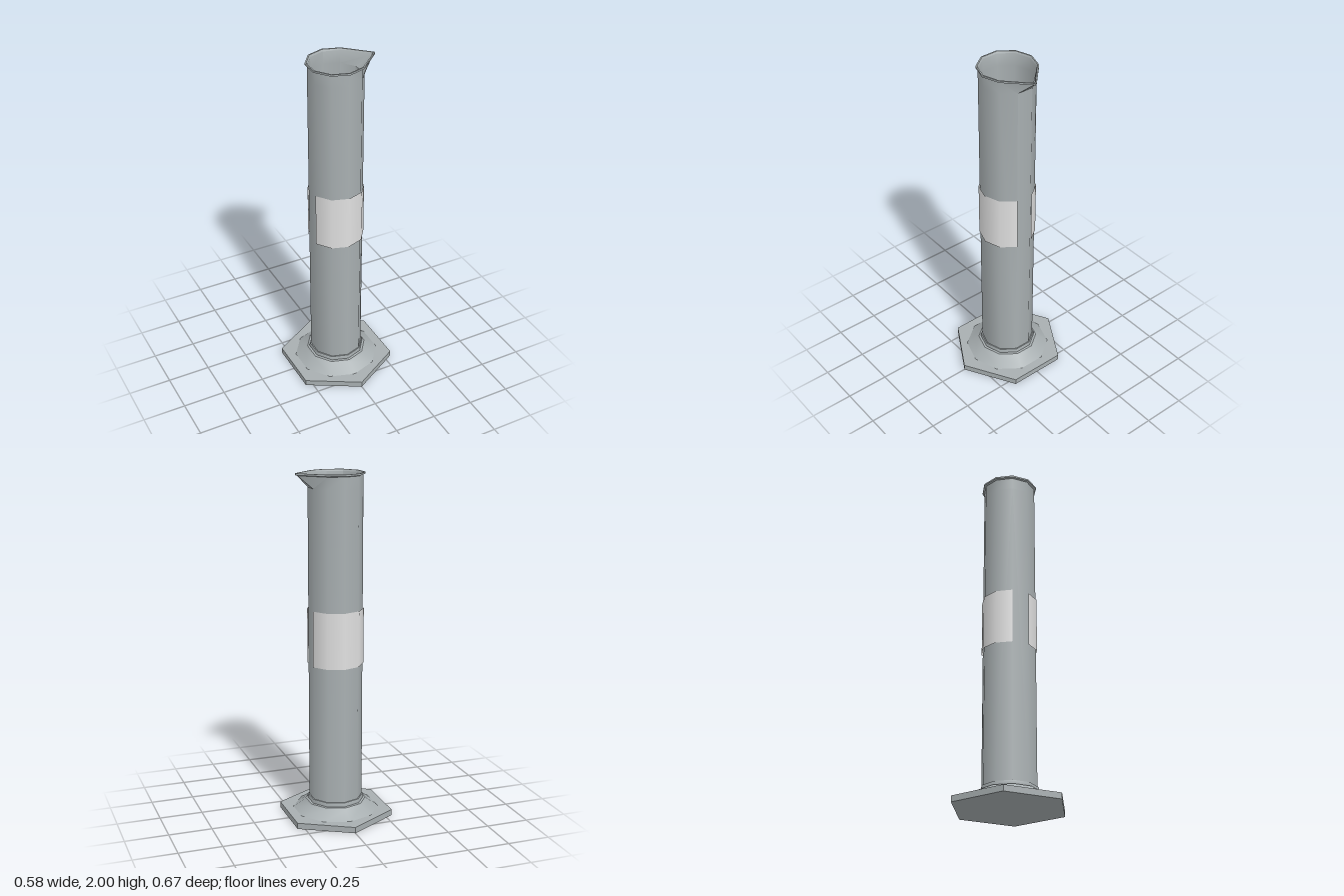
import * as THREE from 'three';
import { toCreasedNormals } from 'three/addons/utils/BufferGeometryUtils.js';

const SIDES = 10;
const CREASE = 0.7; // keeps the ten-sided walls smooth and the other edges sharp

// Ten-sided rings [radius, y, tip]; a tip pulls the two +x corners out into a spout.
function loft(rings) {
  const pos = [], index = [];
  for (const [r, y, tip] of rings) {
    for (let i = 0; i < SIDES; i++) {
      const a = (i + 0.5) * Math.PI * 2 / SIDES;
      const atTip = tip && (i === 0 || i === SIDES - 1);
      if (atTip) pos.push(tip, y, i === 0 ? 0.003 : -0.003);
      else pos.push(r * Math.cos(a), y, r * Math.sin(a));
    }
  }
  for (let j = 0; j < rings.length - 1; j++) {
    for (let i = 0; i < SIDES; i++) {
      const k = (i + 1) % SIDES;
      const a = j * SIDES + i, b = j * SIDES + k, c = a + SIDES, d = b + SIDES;
      // Diagonals mirror across the spout
      if (i < SIDES / 2) index.push(a, c, d, a, d, b);
      else index.push(a, c, b, b, c, d);
    }
  }
  const g = new THREE.BufferGeometry();
  g.setAttribute('position', new THREE.Float32BufferAttribute(pos, 3));
  g.setIndex(index);
  g.computeVertexNormals();
  return toCreasedNormals(g, CREASE);
}

export function createModel() {
  const group = new THREE.Group();
  const grey = new THREE.MeshStandardMaterial({ color: 0xa8afb1 });
  grey.name = 'grey';
  const pale = new THREE.MeshStandardMaterial({ color: 0xe0e0e0, side: THREE.DoubleSide });
  pale.name = 'paleGrey';

  const add = (name, geometry, material) => {
    const mesh = new THREE.Mesh(geometry, material);
    mesh.name = name;
    group.add(mesh);
    return mesh;
  };

  // Hexagonal base plate
  const plate = new THREE.CylinderGeometry(0.335, 0.335, 0.035, 6);
  add('basePlate', toCreasedNormals(plate, CREASE), grey).position.y = 0.0175;

  // Sloping foot with a stepped collar
  add('foot', loft([
    [0.249, 0.035], [0.185, 0.08], [0.176, 0.09], [0.163, 0.092],
    [0.163, 0.102], [0.16, 0.115], [0.15, 0.115],
  ]), grey);

  // Tube: outer wall, spout, lip, then down the inner wall
  add('tube', loft([
    [0.1535, 0.09], [0.1535, 1.917], [0.1535, 1.986, 0.22],
    [0.165, 1.99, 0.232], [0.165, 2, 0.232], [0.157, 2, 0.223],
    [0.151, 1.99, 0.216], [0.151, 1.917], [0.151, 0.1],
  ]), grey);

  // Floor inside the tube
  const floor = add('innerFloor', new THREE.CircleGeometry(0.152, SIDES, Math.PI / SIDES), pale);
  floor.rotation.x = -Math.PI / 2;
  floor.position.y = 0.118;

  // Curved label on the front and back, four sides wide each
  for (const [name, turn] of [['frontLabel', 0], ['backLabel', Math.PI]]) {
    const label = new THREE.CylinderGeometry(0.16, 0.16, 0.322, 4, 1, true, -Math.PI * 0.4, Math.PI * 0.8);
    const mesh = add(name, label, pale);
    mesh.position.y = 1.076;
    mesh.rotation.y = turn;
  }

  return group;
}
